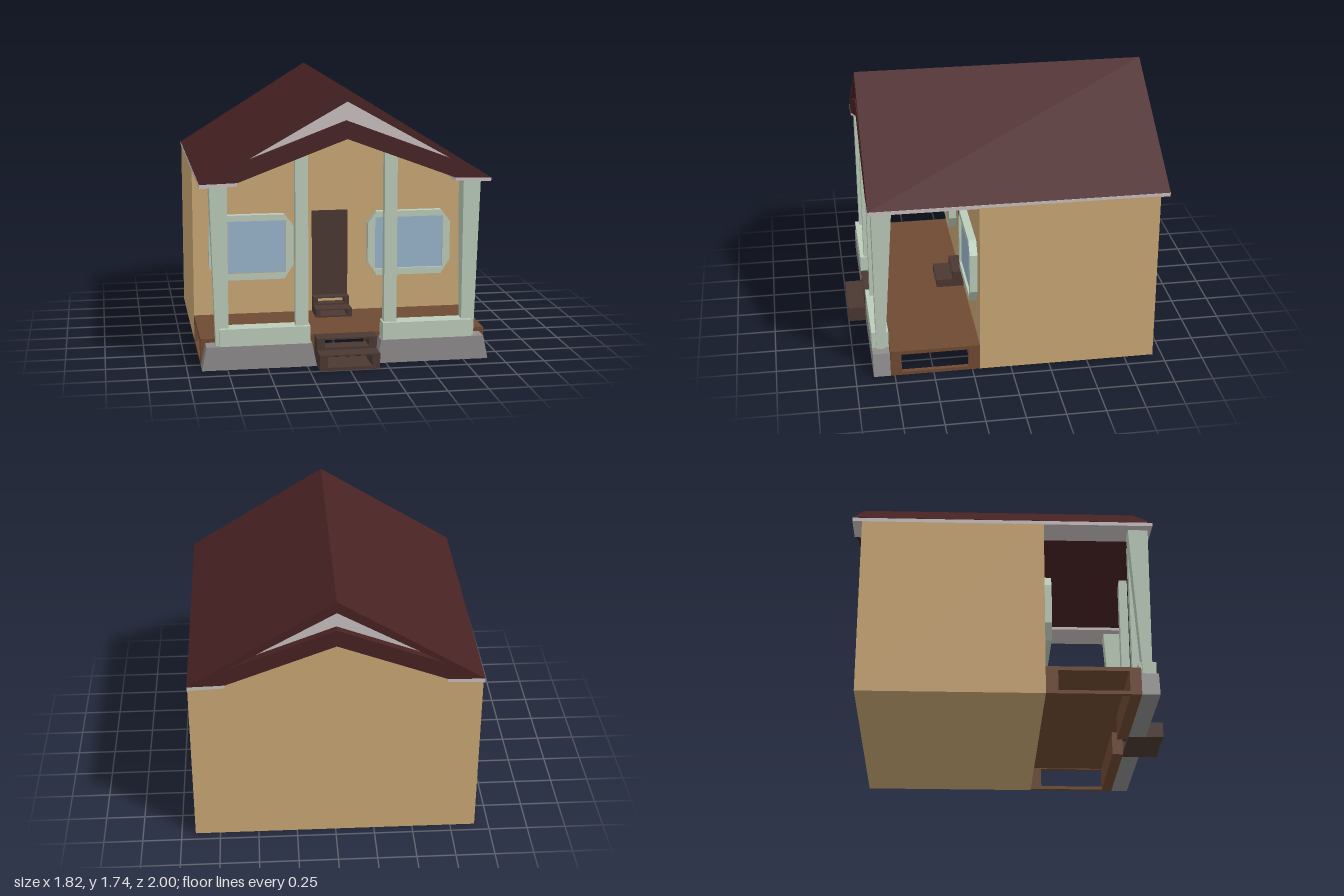
import * as THREE from 'three';

const mat = (name, color) => {
  const m = new THREE.MeshStandardMaterial({ color });
  m.name = name;
  return m;
};

export function createModel() {
  const model = new THREE.Group();
  model.name = 'cottage';
  const tan = mat('tan wall', 0xcba876);
  const red = mat('dark red roof', 0x482223);
  const pale = mat('pale trim', 0xcbc1c1);
  const green = mat('pale green wood', 0xbccdbb);
  const stone = mat('grey stone', 0x8e8c8c);
  const brown = mat('brown deck', 0x6f4a32);
  const dark = mat('dark brown wood', 0x4b3832);
  const blue = mat('blue glass', 0x9ab6ce);

  const add = (name, geo, material, parent = model) => {
    const mesh = new THREE.Mesh(geo, material);
    mesh.name = name;
    parent.add(mesh);
    return mesh;
  };
  const box = (name, material, x0, x1, y0, y1, z0, z1, parent) =>
    add(name, new THREE.BoxGeometry(x1 - x0, y1 - y0, z1 - z0), material, parent)
      .position.set((x0 + x1) / 2, (y0 + y1) / 2, (z0 + z1) / 2);
  const toPoints = (pts) => pts.map(([x, y]) => new THREE.Vector2(x, y));
  const rect = (x0, x1, y0, y1) => [[x0, y0], [x1, y0], [x1, y1], [x0, y1]];

  // Extrude an outline with optional holes from z0 to z1
  const slab = (name, material, pts, z0, z1, holes = [], parent = model) => {
    const shape = new THREE.Shape(toPoints(pts));
    holes.forEach((h) => shape.holes.push(new THREE.Path(toPoints(h))));
    const geo = new THREE.ExtrudeGeometry(shape, { depth: z1 - z0, bevelEnabled: false });
    geo.translate(0, 0, z0);
    return add(name, geo, material, parent);
  };

  // House body
  slab('houseBody', tan, [
    [-0.91, 0], [0.91, 0], [0.91, 1.15], [0.68, 1.18], [0, 1.44], [-0.68, 1.18], [-0.91, 1.15],
  ], -0.94, 0.2);

  // Roof with a vaulted underside and an open gable slot
  const slot = [[0, 1.66], [0.66, 1.29], [0, 1.54], [-0.66, 1.29]];
  slab('roof', red, [
    [-0.91, 1.17], [-0.68, 1.175], [0, 1.43], [0.68, 1.175], [0.91, 1.17], [0, 1.735],
  ], -1, 0.885, [slot]);
  slab('gablePanel', pale, slot, -0.95, 0.835);

  // Porch deck: floor and side frames with openings
  box('deckFloor', brown, -0.91, 0.91, 0.155, 0.175, 0.2, 0.775);
  for (const x of [-0.91, 0.88]) {
    const frame = slab('deckSideFrame', brown, rect(-0.775, -0.2, 0, 0.155), 0, 0.03,
      [rect(-0.705, -0.275, 0.022, 0.15)]);
    frame.rotation.y = Math.PI / 2;
    frame.position.x = x;
  }

  for (const s of [-1, 1]) {
    const side = s > 0 ? 'left' : 'right';
    const half = new THREE.Group();
    half.name = side + 'PorchHalf';
    model.add(half);
    const mirror = (pts) => pts.map(([x, y]) => [s * x, y]);
    const span = (a, b) => (s > 0 ? [a, b] : [-b, -a]);

    // Eave soffit
    slab('eaveSoffit', pale, mirror([[0.68, 1.155], [0.91, 1.145], [0.91, 1.169], [0.68, 1.176]]),
      -1, 0.885, [], half);

    // Front skirt, stone base and rail
    box('deckFrontSkirt', brown, ...span(0.14, 0.88), 0, 0.155, 0.705, 0.775, half);
    slab('stoneBase', stone, mirror([[0.19, 0], [0.91, 0], [0.88, 0.15], [0.22, 0.15]]),
      0.776, 0.885, [], half);
    box('porchRail', green, ...span(0.23, 0.8), 0.15, 0.26, 0.776, 0.884, half);

    // Straight inner post
    box('innerPost', green, ...span(0.24, 0.32), 0.15, 1.36, 0.8, 0.858, half);

    // Outer post flaring towards the top
    const postGeo = new THREE.BoxGeometry(1, 1, 1);
    const p = postGeo.attributes.position;
    for (let i = 0; i < p.count; i++) {
      const top = p.getY(i) > 0;
      const outer = p.getX(i) * s > 0;
      const front = p.getZ(i) > 0;
      p.setXYZ(i,
        s * (outer ? (top ? 0.85 : 0.82) : 0.74),
        top ? 1.165 : 0.15,
        front ? (top ? 0.862 : 0.856) : (top ? 0.735 : 0.8));
    }
    postGeo.computeVertexNormals();
    add('outerPost', postGeo, green, half);

    // Window with clipped corners
    slab('windowFrame', green, mirror([
      [0.25, 0.51], [0.31, 0.415], [0.75, 0.415], [0.81, 0.51],
      [0.81, 0.77], [0.75, 0.85], [0.31, 0.85], [0.25, 0.77],
    ]), 0.2, 0.25, [mirror(rect(0.3, 0.76, 0.46, 0.81))], half);
    box('windowGlass', blue, ...span(0.3, 0.76), 0.46, 0.81, 0.226, 0.235, half);
  }

  // Door
  box('door', dark, -0.12, 0.12, 0.285, 0.86, 0.199, 0.203);

  // Open-riser steps: half width, bottom, top, back, front, holes
  const step = (name, w, y0, y1, z0, z1, holes) =>
    slab(name, dark, rect(-w, w, y0, y1), z0, z1, holes);
  step('lowerPorchStep', 0.19, 0, 0.1, 0.885, 1, [rect(-0.14, 0.14, 0.02, 0.09)]);
  step('upperPorchStep', 0.19, 0, 0.176, 0.775, 0.885,
    [rect(-0.14, 0.14, 0.02, 0.09), rect(-0.14, 0.14, 0.115, 0.165)]);
  step('lowerDoorStep', 0.12, 0.175, 0.23, 0.2, 0.385, [rect(-0.09, 0.09, 0.185, 0.222)]);
  step('upperDoorStep', 0.12, 0.23, 0.285, 0.2, 0.275, [rect(-0.09, 0.09, 0.24, 0.277)]);

  return model;
}
